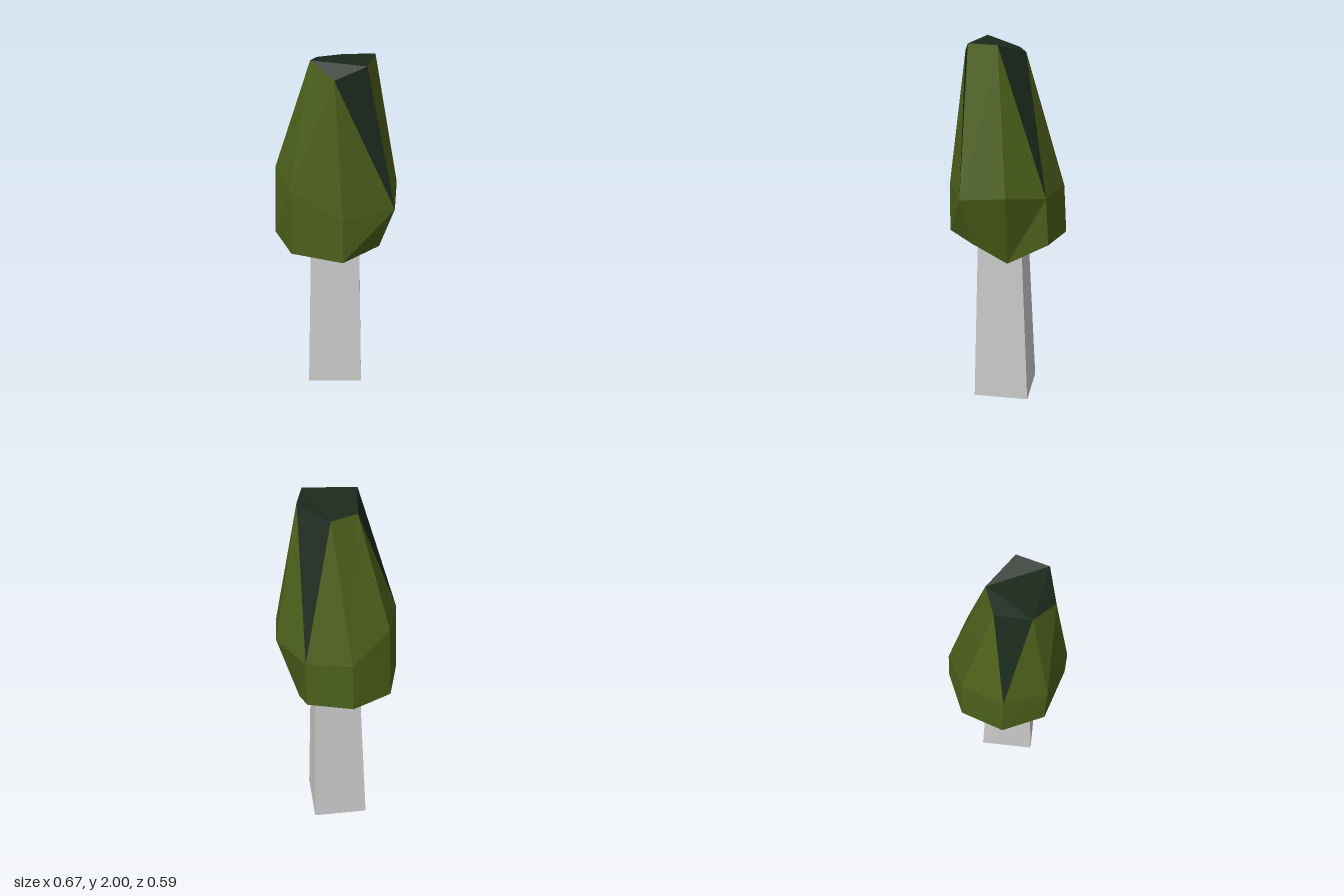
import * as THREE from 'three';

// Rings run around the tree in the same direction, seen from above from +x to +z.
const HEM = [[0.08, 0.955, -0.295], [0.17, 0.845, -0.1], [0.25, 0.955, 0.07], [0.12, 0.955, 0.285],
  [-0.165, 0.955, 0.293], [-0.33, 0.955, 0.12], [-0.335, 0.955, -0.12], [-0.165, 0.955, -0.285]];
const WAIST = [[0.087, 1.21, -0.283], [0.275, 1.24, -0.145], [0.335, 1.215, 0.09], [0.12, 1.215, 0.283],
  [-0.16, 1.335, 0.292], [-0.313, 1.36, 0.12], [-0.315, 1.36, -0.11], [-0.155, 1.22, -0.272]];
const CROWN = [[-0.01, 1.94, -0.11], [0.17, 1.99, -0.045], [0.182, 1.99, 0.118],
  [0.05, 1.937, 0.213], [-0.09, 2, 0.16], [-0.123, 1.945, -0.015]];
const TRUNK_BASE = [[-0.215, 0, -0.08], [0.075, 0, -0.177], [0.175, 0, 0.11], [-0.115, 0, 0.212]];
const TRUNK_TOP = [[-0.141, 1.2, -0.046], [0.069, 1.2, -0.118], [0.138, 1.2, 0.09], [-0.096, 1.2, 0.165]];

// Triangles joining two rings with the same number of corners
function band(low, high) {
  return low.flatMap((a, i) => {
    const j = (i + 1) % low.length;
    return [[low[j], a, high[i]], [low[j], high[i], high[j]]];
  });
}

function makeMesh(name, triangles, color) {
  const geometry = new THREE.BufferGeometry();
  geometry.setAttribute('position', new THREE.Float32BufferAttribute(triangles.flat(2), 3));
  geometry.computeVertexNormals();
  const material = new THREE.MeshStandardMaterial({ color, flatShading: true, side: THREE.DoubleSide });
  const mesh = new THREE.Mesh(geometry, material);
  mesh.name = name;
  return mesh;
}

export function createModel() {
  const tree = new THREE.Group();
  tree.name = 'tree';

  // Square tapered trunk, open below
  tree.add(makeMesh('trunk', band(TRUNK_BASE, TRUNK_TOP), 0xcccccc));

  // Foliage skirt with an open, uneven hem
  const leaves = band(HEM, WAIST);
  const shade = [];

  // Upper foliage: step round waist (w) and crown (c) together; some crown facets are dark
  let w = 0, c = 0;
  for (const step of 'cwwccwwcwcwwcw') {
    const low = WAIST[w % 8], top = CROWN[c % 6];
    if (step === 'w') leaves.push([WAIST[++w % 8], low, top]);
    else (c % 2 === 0 ? shade : leaves).push([low, top, CROWN[++c % 6]]);
  }

  // Dark flat top and its small sloping front facet
  for (const tri of [[0, 2, 1], [0, 4, 2], [0, 5, 4], [2, 4, 3]]) shade.push(tri.map((i) => CROWN[i]));

  tree.add(makeMesh('foliage', leaves, 0x4c5f1b));
  tree.add(makeMesh('darkFoliage', shade, 0x1b2a1c));
  return tree;
}
